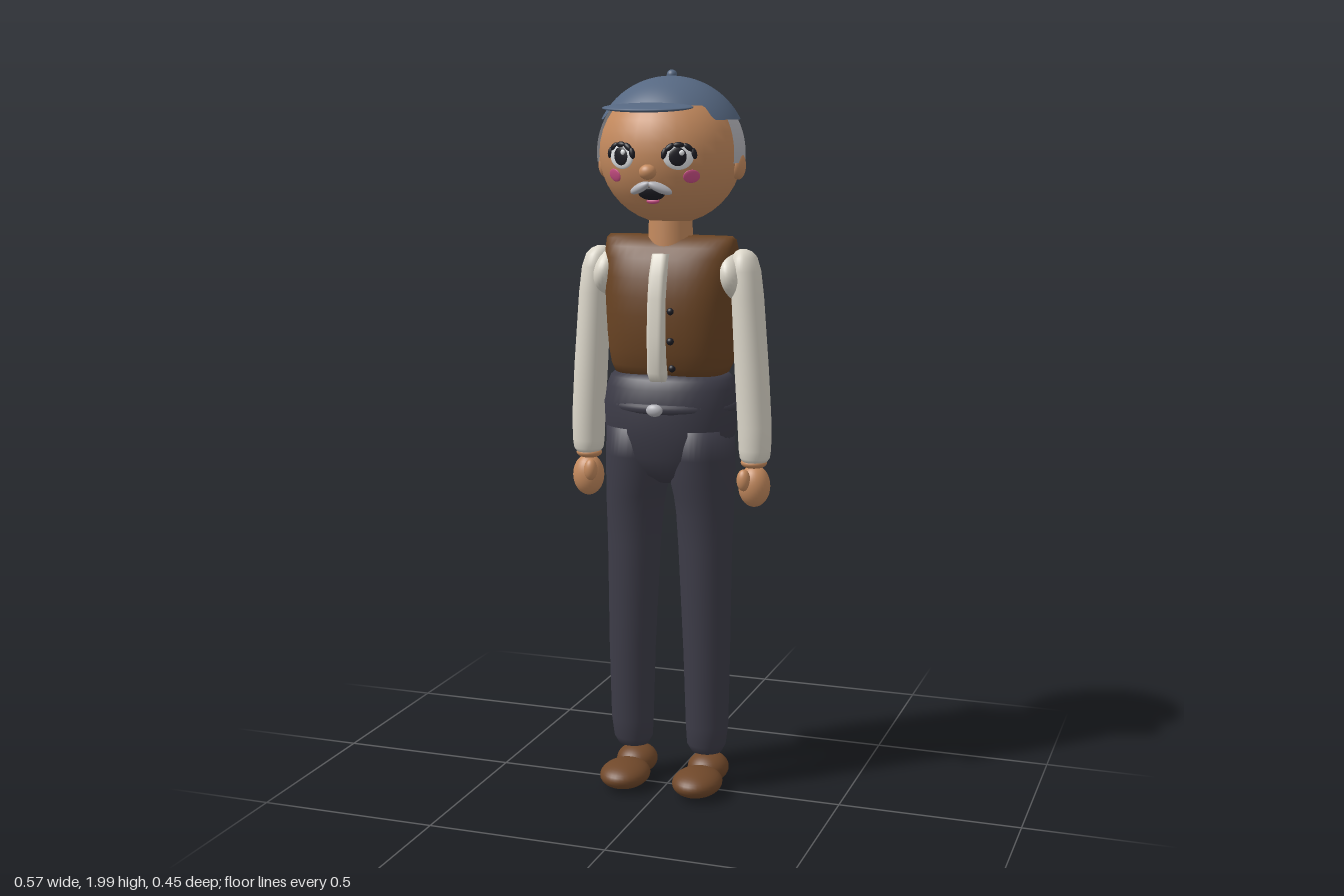
import * as THREE from 'three';
import { ParametricGeometry } from 'three/addons/geometries/ParametricGeometry.js';

const mat = (name, color, side = THREE.FrontSide) => {
  const m = new THREE.MeshStandardMaterial({ color, side });
  m.name = name;
  return m;
};

const HEAD = { y: 1.78, z: -0.03, rx: 0.193, ry: 0.19, rz: 0.185 };

export function createModel() {
  const root = new THREE.Group();
  root.name = 'cappedMan';
  const skin = mat('skin', 0xc48a5e);
  const capBlue = mat('capBlue', 0x566882, THREE.DoubleSide);
  const hairGrey = mat('hairGrey', 0xb4b4ba, THREE.DoubleSide);
  const vestBrown = mat('vestBrown', 0x6a4424);
  const shoeBrown = mat('shoeBrown', 0x70482a);
  const shirtCream = mat('shirtCream', 0xddd8cb);
  const trouserCharcoal = mat('trouserCharcoal', 0x3d3c48);
  const black = mat('black', 0x1d1d24);
  const pink = mat('pink', 0xcc4f86);
  const white = mat('white', 0xe6e8ea);

  const add = (name, geometry, material, parent = root) => {
    const mesh = new THREE.Mesh(geometry, material);
    mesh.name = name;
    parent.add(mesh);
    return mesh;
  };

  const ellipsoid = (name, material, pos, radii, parent = root) => {
    const mesh = add(name, new THREE.SphereGeometry(1, 32, 20), material, parent);
    mesh.position.set(...pos);
    mesh.scale.set(...radii);
    return mesh;
  };

  // Closed skin through rings [y, centreX, centreZ, radiusX, radiusZ], bottom to top
  const loft = (rings, power = 2, seg = 40) => {
    const first = rings[0], last = rings[rings.length - 1];
    const all = [[...first.slice(0, 3), 0, 0], ...rings, [...last.slice(0, 3), 0, 0]];
    const pos = [], index = [];
    const bend = (v) => Math.sign(v) * Math.abs(v) ** (2 / power);
    all.forEach(([y, cx, cz, rx, rz], i) => {
      for (let j = 0; j < seg; j++) {
        const a = (j / seg) * Math.PI * 2;
        pos.push(cx + rx * bend(Math.cos(a)), y, cz + rz * bend(Math.sin(a)));
        if (i === all.length - 1) continue;
        const k = (j + 1) % seg, p = i * seg, q = p + seg;
        index.push(p + j, q + j, p + k, q + j, q + k, p + k);
      }
    });
    const g = new THREE.BufferGeometry();
    g.setAttribute('position', new THREE.Float32BufferAttribute(pos, 3));
    g.setIndex(index);
    g.computeVertexNormals();
    return g;
  };

  // Shell around the head between two heights; azimuth 0 is the front
  const headShell = (a0, a1, topY, bottomY, rx, ry, rz) =>
    new ParametricGeometry((u, v, p) => {
      const a = a0 + (a1 - a0) * u;
      const t1 = Math.acos((bottomY(a) - HEAD.y) / ry);
      const t0 = Math.acos(Math.min(1, (topY - HEAD.y) / ry));
      const t = t1 + (t0 - t1) * v;
      p.set(rx * Math.sin(a) * Math.sin(t), HEAD.y + ry * Math.cos(t), HEAD.z + rz * Math.cos(a) * Math.sin(t));
    }, 120, 20);

  // Flattened feature lying on the face, pushed out by lift
  const onFace = (name, material, x, y, rx, ry, depth, lift = 0, roll = 0) => {
    const dx = x / HEAD.rx, dy = (y - HEAD.y) / HEAD.ry;
    const dz = Math.sqrt(1 - dx * dx - dy * dy);
    const n = new THREE.Vector3(dx / HEAD.rx, dy / HEAD.ry, dz / HEAD.rz).normalize();
    const p = new THREE.Vector3(x, y, HEAD.z + HEAD.rz * dz).addScaledVector(n, lift);
    const mesh = ellipsoid(name, material, p.toArray(), [rx, ry, depth]);
    mesh.lookAt(p.clone().add(n));
    mesh.rotateZ(roll);
    return mesh;
  };

  // Head, neck and nose
  ellipsoid('head', skin, [0, HEAD.y, HEAD.z], [HEAD.rx, HEAD.ry, HEAD.rz]);
  add('neck', new THREE.CylinderGeometry(0.058, 0.062, 0.12, 32), skin).position.set(0, 1.57, -0.027);
  onFace('nose', skin, 0, 1.737, 0.023, 0.02, 0.02, 0.008);

  // Hair band from temple to temple
  const temple = 1.3;
  add('hair', headShell(temple, Math.PI * 2 - temple, 1.91, () => 1.755, 0.2, 0.197, 0.195), hairGrey);

  // Cap with stepped hem: high at the brow, low at the nape
  const step = THREE.MathUtils.smoothstep;
  const hem = (a) => {
    const d = Math.abs(a);
    return 1.905 - 0.037 * step(d, 0.86, 0.98) - 0.028 * step(d, 2.5, 2.6);
  };
  add('cap', headShell(-Math.PI, Math.PI, 1.99, hem, 0.207, 0.202, 0.204), capBlue);
  ellipsoid('capButton', capBlue, [0, 1.984, -0.037], [0.014, 0.014, 0.014]);
  ellipsoid('capPeak', capBlue, [0, 1.9, 0.158], [0.123, 0.01, 0.071]).rotation.x = 0.1;

  // Moustache and mouth
  onFace('mouth', black, 0, 1.679, 0.036, 0.02, 0.008, 0.002);
  onFace('lowerLip', pink, 0, 1.66, 0.018, 0.007, 0.008, 0.003);

  for (const s of [-1, 1]) {
    const side = s > 0 ? 'left' : 'right';
    onFace(side + 'Moustache', hairGrey, s * 0.027, 1.696, 0.034, 0.012, 0.014, 0.006, -s * 0.45);

    // Eye, lid, iris and glint
    onFace(side + 'EyeWhite', white, s * 0.078, 1.775, 0.04, 0.034, 0.008);
    onFace(side + 'Iris', black, s * 0.076, 1.775, 0.024, 0.024, 0.006, 0.005);
    onFace(side + 'Glint', white, s * 0.076 + 0.009, 1.785, 0.007, 0.007, 0.004, 0.01);
    for (let i = 0; i < 5; i++) {
      const a = Math.PI * (0.08 + 0.21 * i);
      onFace(side + 'Lid', black, s * 0.078 + 0.036 * Math.cos(a), 1.776 + 0.028 * Math.sin(a),
        0.015, 0.008, 0.007, 0.004, a - Math.PI / 2);
    }
    onFace(side + 'Cheek', pink, s * 0.106, 1.724, 0.023, 0.018, 0.004);
    ellipsoid(side + 'Ear', skin, [s * 0.187, 1.747, -0.033], [0.02, 0.037, 0.031]);

    // Sleeve with a broad shoulder
    add(side + 'Sleeve', loft([
      [0.952, s * 0.242, -0.027, 0.034, 0.036], [0.962, s * 0.242, -0.027, 0.041, 0.042],
      [0.985, s * 0.242, -0.027, 0.044, 0.046], [1.05, s * 0.241, -0.026, 0.046, 0.049],
      [1.2, s * 0.232, -0.025, 0.046, 0.051], [1.4, s * 0.219, -0.025, 0.043, 0.052],
      [1.47, s * 0.212, -0.026, 0.041, 0.052], [1.505, s * 0.208, -0.028, 0.034, 0.044],
      [1.52, s * 0.205, -0.03, 0.022, 0.03], [1.526, s * 0.203, -0.03, 0.01, 0.014],
    ]), shirtCream);
    ellipsoid(side + 'Shoulder', shirtCream, [s * 0.178, 1.455, -0.045], [0.043, 0.068, 0.088]).rotation.z = s * 0.2;

    // Wrist and hand
    ellipsoid(side + 'Wrist', skin, [s * 0.24, 0.948, -0.025], [0.036, 0.016, 0.034]);
    ellipsoid(side + 'Hand', skin, [s * 0.242, 0.884, -0.024], [0.044, 0.058, 0.042]);
    ellipsoid(side + 'Thumb', skin, [s * 0.222, 0.905, 0.012], [0.019, 0.03, 0.018]);

    // Trouser leg
    add(side + 'Leg', loft([
      [0.106, s * 0.109, -0.022, 0.025, 0.022], [0.113, s * 0.109, -0.022, 0.043, 0.04],
      [0.135, s * 0.109, -0.021, 0.055, 0.051], [0.19, s * 0.111, -0.02, 0.06, 0.057],
      [0.4, s * 0.11, -0.018, 0.065, 0.066], [0.7, s * 0.104, -0.019, 0.074, 0.075],
      [0.8, s * 0.102, -0.022, 0.079, 0.085], [0.85, s * 0.099, -0.023, 0.083, 0.093],
      [0.89, s * 0.094, -0.025, 0.088, 0.1], [0.96, s * 0.09, -0.026, 0.092, 0.109],
      [1.04, s * 0.088, -0.026, 0.09, 0.112],
    ]), trouserCharcoal);

    // Shoe
    ellipsoid(side + 'ShoeToe', shoeBrown, [s * 0.107, 0.046, 0.055], [0.069, 0.038, 0.085]);
    ellipsoid(side + 'ShoeHeel', shoeBrown, [s * 0.107, 0.056, -0.045], [0.058, 0.043, 0.062]);
  }

  // Trouser seat and waistband
  add('trouserSeat', loft([
    [0.885, 0, -0.025, 0.03, 0.05], [0.91, 0, -0.025, 0.1, 0.085], [0.96, 0, -0.026, 0.165, 0.112],
    [1.03, 0, -0.026, 0.183, 0.123], [1.1, 0, -0.028, 0.185, 0.129], [1.15, 0, -0.035, 0.181, 0.125],
    [1.175, 0, -0.038, 0.172, 0.115], [1.19, 0, -0.04, 0.155, 0.1],
  ], 2.2), trouserCharcoal);

  // Belt and buckle
  const belt = add('belt', new THREE.TorusGeometry(1, 0.07, 12, 64), trouserCharcoal);
  belt.rotation.x = Math.PI / 2;
  belt.position.set(0, 1.1, -0.031);
  belt.scale.set(0.177, 0.128, 0.2);
  ellipsoid('buckle', hairGrey, [0, 1.1, 0.108], [0.023, 0.017, 0.014]);

  // Vest
  add('vest', loft([
    [1.178, 0, -0.04, 0.14, 0.085], [1.188, 0, -0.04, 0.156, 0.1], [1.21, 0, -0.044, 0.166, 0.115],
    [1.25, 0, -0.048, 0.173, 0.129], [1.3, 0, -0.048, 0.177, 0.134], [1.35, 0, -0.045, 0.179, 0.132],
    [1.4, 0, -0.041, 0.181, 0.125], [1.45, 0, -0.038, 0.183, 0.112], [1.5, 0, -0.036, 0.185, 0.094],
    [1.53, 0, -0.034, 0.185, 0.072], [1.55, 0, -0.032, 0.183, 0.048], [1.56, 0, -0.03, 0.174, 0.022],
  ], 2.7), vestBrown);

  // Shirt front strip following the chest
  add('shirtStrip', loft([
    [1.175, 0, 0.07, 0.022, 0.022], [1.2, 0, 0.083, 0.023, 0.03], [1.3, 0, 0.085, 0.024, 0.03],
    [1.4, 0, 0.078, 0.024, 0.03], [1.46, 0, 0.066, 0.024, 0.03], [1.515, 0, 0.047, 0.022, 0.028],
  ], 4), shirtCream);

  // Vest buttons
  [[1.365, 0.083], [1.285, 0.085], [1.21, 0.07]].forEach(([y, z]) =>
    ellipsoid('vestButton', black, [0.037, y, z], [0.01, 0.01, 0.009]));

  return root;
}
